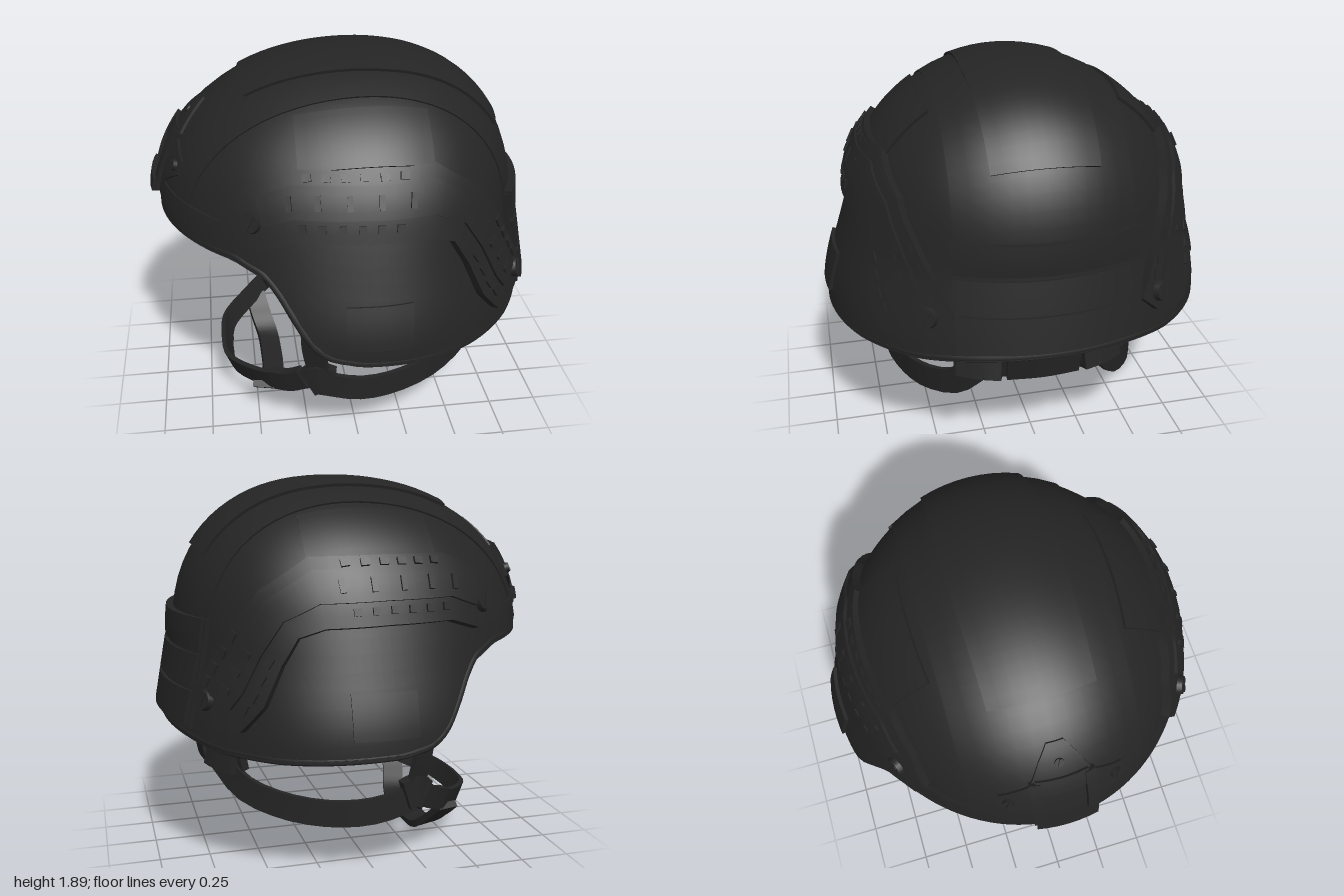
import * as THREE from 'three';
import { toCreasedNormals } from 'three/addons/utils/BufferGeometryUtils.js';

const V = (x, y, z) => new THREE.Vector3(x, y, z);
const lerp = THREE.MathUtils.lerp;
const CX = 0.05, TOP = 1.878, MID = 1.1;
const black = new THREE.MeshStandardMaterial({ color: 0x242424, side: THREE.DoubleSide });
black.name = 'matte black';

// Shell half lengths (front, back) and half width at height y; the ears flare out
function dims(y) {
  const t = Math.min(Math.max((y - MID) / (TOP - MID), 0), 0.99999);
  const low = Math.max(MID - y, 0), flare = 1 - THREE.MathUtils.smoothstep(y, 0.7, 1.3);
  const round = p => Math.pow(1 - t ** p, 1 / p);
  return { f: 0.985 * round(2.17), b: 0.81 * round(2.3) + 0.18 * low, w: 0.843 * round(2) + 0.135 * flare };
}
function field(x, y, z) {
  const d = dims(y);
  return ((x - CX) / (x < CX ? d.f : d.b)) ** 2 + (z / d.w) ** 2;
}
// Point where a ray from inside meets the shell
function hit(x, y, z, dx, dy, dz) {
  let a = 0, b = 2;
  for (let i = 0; i < 34; i++) {
    const m = (a + b) / 2, py = y + dy * m;
    if (py < TOP && field(x + dx * m, py, z + dz * m) < 1) a = m; else b = m;
  }
  return V(x + dx * a, y + dy * a, z + dz * a);
}
function normalAt(p) {
  const e = 1e-4, f0 = field(p.x, p.y, p.z);
  return V(field(p.x + e, p.y, p.z) - field(p.x - e, p.y, p.z),
    2 * (f0 - field(p.x, p.y - e, p.z)) + 1e-9,
    field(p.x, p.y, p.z + e) - field(p.x, p.y, p.z - e)).normalize();
}
// Lower edge height along x: brow, ear cut-out, nape
const RIM = [[-0.95, 1.13], [-0.6, 1.11], [-0.45, 1.05], [-0.38, 0.95], [-0.28, 0.78], [-0.19, 0.71],
  [-0.05, 0.68], [0.5, 0.66], [0.75, 0.665], [0.95, 0.7]];
function rimY(a) {
  const c = Math.cos(a), x = CX + c * (c < 0 ? 1 : 0.89);
  const i = Math.max(1, RIM.findIndex(r => r[0] > x));
  const [p, q] = [RIM[i - 1], RIM[i]];
  return lerp(p[1], q[1], THREE.MathUtils.clamp((x - p[0]) / (q[0] - p[0]), 0, 1));
}
function ring(a, y) {
  const d = dims(y), c = Math.cos(a);
  return V(CX + c * (c < 0 ? d.f : d.b), y, Math.sin(a) * d.w);
}

// Grid surface from a rule on integer indices
function grid(nu, nv, fn, crease) {
  const pos = [], idx = [];
  for (let i = 0; i <= nu; i++) for (let j = 0; j <= nv; j++) {
    pos.push(...fn(i, j).toArray());
    if (i < nu && j < nv) {
      const k = i * (nv + 1) + j, l = k + nv + 1;
      idx.push(k, l, k + 1, k + 1, l, l + 1);
    }
  }
  const g = new THREE.BufferGeometry();
  g.setAttribute('position', new THREE.Float32BufferAttribute(pos, 3));
  g.setIndex(idx);
  return toCreasedNormals(g, crease);
}

export function createModel() {
  const model = new THREE.Group();
  model.name = 'helmet';
  const add = (name, geo) => {
    const m = new THREE.Mesh(geo, black);
    m.name = name;
    model.add(m);
    return m;
  };
  // Raised panel that follows the shell, with side walls
  const slab = (name, base, thick, nu = 12, nv = 8) => add(name, grid(nu + 2, nv + 2, (i, j) => {
    const edge = i === 0 || j === 0 || i === nu + 2 || j === nv + 2;
    const u = THREE.MathUtils.clamp((i - 1) / nu, 0, 1), v = THREE.MathUtils.clamp((j - 1) / nv, 0, 1);
    const p = base(u, v);
    return p.addScaledVector(normalAt(p), edge ? -0.01 : thick);
  }, 0.6));
  // Small part seated on the shell; its z axis points outward
  const seat = (name, geo, p, up, lift) => {
    const n = normalAt(p), x = up.clone().cross(n).normalize();
    const m = add(name, geo);
    m.quaternion.setFromRotationMatrix(new THREE.Matrix4().makeBasis(x, n.clone().cross(x), n));
    m.position.copy(p).addScaledVector(n, lift);
  };
  const bolt = (p, r, lift) => {
    seat('bolt', new THREE.CylinderGeometry(r * 0.85, r, 0.03, 16).rotateX(Math.PI / 2), p, V(0, 1, 0), lift);
    seat('boltSlot', new THREE.BoxGeometry(r * 0.3, r * 1.5, 0.014).rotateZ(-0.4), p, V(0, 1, 0), lift + 0.014);
  };
  // Webbing with rectangular section; across = direction of its width
  const strap = (name, pts, across, width, thick = 0.025, n = 14) => {
    const c = new THREE.CatmullRomCurve3(pts.map(p => V(...p)));
    const corners = [[-1, -1], [1, -1], [1, 1], [-1, 1], [-1, -1]];
    return add(name, grid(n + 2, 4, (i, j) => {
      const t = THREE.MathUtils.clamp((i - 1) / n, 0, 1), end = i === 0 || i === n + 2 ? 0 : 0.5;
      const tan = c.getTangent(t), nor = tan.clone().cross(V(...across)).normalize();
      const w = nor.clone().cross(tan).normalize();
      return c.getPoint(t).addScaledVector(w, corners[j][0] * width * end).addScaledVector(nor, corners[j][1] * thick * end);
    }, 0.6));
  };

  // Shell: outside from crown to rim, then inside back up
  const N = 24;
  add('shell', grid(120, 2 * N + 1, (i, j) => {
    const a = i / 120 * Math.PI * 2, inner = j > N;
    const q = 1 - Math.cos((inner ? 2 * N + 1 - j : j) / N * Math.PI / 2);
    const p = ring(a, TOP - (TOP - rimY(a)) * q);
    return inner ? V(CX + (p.x - CX) * 0.94, p.y - 0.06 * (1 - q), p.z * 0.94) : p;
  }, 0.9));
  // Rounded lip along the lower edge
  const edge = [];
  for (let i = 0; i < 80; i++) {
    const a = i / 80 * Math.PI * 2, p = ring(a, rimY(a) + 0.014);
    edge.push(V(CX + (p.x - CX) * 0.972, p.y, p.z * 0.972));
  }
  add('rimLip', new THREE.TubeGeometry(new THREE.CatmullRomCurve3(edge, true), 160, 0.028, 10, true));

  // Centre cover panel and crown patch
  const arc = (a, z) => hit(CX, 1, z, Math.cos(a), Math.sin(a), 0);
  slab('centrePanel', (u, v) => arc(lerp(Math.PI - 0.2, -0.24, u), lerp(-0.42, 0.42, v)), 0.008, 36, 10);
  slab('crownPatch', (u, v) => arc(lerp(2.2, 0.67, u), lerp(-1, 1, v) * (0.265 - 0.02 * Math.abs(2 * u - 1))), 0.022, 24, 8);

  // Nape pads
  for (const [y0, y1] of [[1.1, 1.25], [0.93, 1.08], [0.75, 0.91]])
    slab('napePad', (u, v) => hit(CX, lerp(y0, y1, v), lerp(-0.42, 0.42, u), 1, 0, 0), 0.045, 14, 4);
  slab('napeBacking', (u, v) => hit(CX, lerp(0.73, 1.24, v), lerp(-0.43, 0.43, u), 1, 0, 0), 0.025, 14, 8);

  // Front mount: flared plate, raised frame and bolts
  const MOUNT = [[1.24, 0.17], [1.32, 0.2], [1.38, 0.3], [1.44, 0.29], [1.5, 0.15], [1.6, 0.09], [1.66, 0.04]];
  const front = (y, z) => hit(CX, y, z, -1, 0, 0);
  slab('mountPlate', (u, v) => {
    const k = Math.min(Math.floor(u * 6), 5), t = u * 6 - k;
    return front(lerp(MOUNT[k][0], MOUNT[k + 1][0], t), lerp(-1, 1, v) * lerp(MOUNT[k][1], MOUNT[k + 1][1], t));
  }, 0.02, 18, 8);
  for (const s of [-1, 1]) {
    slab('mountRail', (u, v) => front(lerp(1.24, 1.52, u), s * lerp(0.1, 0.15, v)), 0.04, 8, 2);
    bolt(front(1.41, s * 0.25), 0.03, 0.022);
  }
  slab('mountTopBar', (u, v) => front(lerp(1.46, 1.53, u), lerp(-0.12, 0.12, v)), 0.034, 3, 4);
  slab('mountFoot', (u, v) => front(lerp(1.23, 1.29, u), lerp(-0.14, 0.14, v)), 0.055, 3, 6);
  bolt(front(1.59, 0), 0.025, 0.012);

  // Side rail outline as pairs of upper and lower points
  const RAIL = [[-0.62, 1.32, -0.6, 1.22], [-0.5, 1.45, -0.45, 1.2], [-0.3, 1.53, -0.3, 1.25], [0, 1.535, 0, 1.25],
    [0.32, 1.53, 0.28, 1.24], [0.53, 1.39, 0.39, 1.2], [0.645, 1.22, 0.46, 1.08], [0.735, 1.04, 0.54, 0.9],
    [0.805, 0.89, 0.635, 0.78], [0.775, 0.8, 0.7, 0.77]];

  for (const s of [-1, 1]) {
    const side = (x, y) => hit(x, y, 0, 0, 0, s);
    const rail = (k, v) => {
      const i = Math.min(Math.floor(k), 8), t = k - i, [p, q] = [RAIL[i], RAIL[i + 1]];
      return side(lerp(lerp(p[0], q[0], t), lerp(p[2], q[2], t), v), lerp(lerp(p[1], q[1], t), lerp(p[3], q[3], t), v));
    };
    slab('sidePatch', (u, v) => {
      const a = lerp(0.67, 1.0, v);
      return hit(lerp(-0.28, 0.33, u), 1, 0, 0, Math.sin(a), s * Math.cos(a));
    }, 0.015);
    slab('earPatch', (u, v) => side(lerp(-0.1, 0.2, u), lerp(0.77, 0.97, v)), 0.018, 6, 6);
    slab('sideRail', (u, v) => rail(u * 9, v), 0.042, 36, 6);
    slab('railSpine', (u, v) => rail(1.2 + u * 6.4, lerp(0.2, 0.65, v)), 0.056, 32, 4);

    // Rail teeth and slots on the upper run and the rear arm
    const stud = (k, v, w, h, lift) => {
      const p = rail(k, v);
      seat('railTooth', new THREE.BoxGeometry(w, h, 0.016), p, rail(k, v - 0.05).sub(p), lift);
    };
    for (let i = 0; i < 6; i++) {
      stud(2.2 + i * 0.27, 0.1, 0.04, 0.035, 0.045);
      stud(2.1 + i * 0.28, 0.78, 0.035, 0.035, 0.045);
    }
    for (let i = 0; i < 5; i++) stud(1.9 + i * 0.44, 0.42, 0.025, 0.07, 0.058);
    for (let i = 0; i < 4; i++) {
      stud(6.1 + i * 0.42, 0.1, 0.05, 0.035, 0.045);
      stud(6.1 + i * 0.42, 0.8, 0.05, 0.035, 0.045);
      if (i < 3) stud(6.2 + i * 0.5, 0.42, 0.025, 0.06, 0.058);
    }
    bolt(side(-0.48, 1.31), 0.052, 0.05);
    bolt(side(0.75, 0.89), 0.052, 0.052);

    // Brow cord from the mount to the rail
    slab('browCord', (u, v) => {
      const a = lerp(Math.PI - 0.12, Math.PI - 0.9, u);
      return hit(CX, lerp(1.27, 1.23, u) + 0.035 * v, 0, Math.cos(a), 0, s * Math.sin(a));
    }, 0.016, 14, 2);

    // Chin harness, one side
    strap('frontStrap', [[-0.23, 0.82, s * 0.72], [-0.23, 0.6, s * 0.69], [-0.19, 0.38, s * 0.67]], [1, 0, s * 0.5], 0.115);
    strap('rearStrap', [[-0.2, 0.37, s * 0.67], [0, 0.325, s * 0.68], [0.2, 0.31, s * 0.63], [0.42, 0.34, s * 0.54],
      [0.6, 0.41, s * 0.41], [0.7, 0.54, s * 0.31]], [0, 1, 0], 0.13);
    strap('strapJoint', [[-0.25, 0.37, s * 0.65], [-0.2, 0.41, s * 0.68], [-0.14, 0.39, s * 0.69]], [0, 1, 0], 0.15, 0.05, 6);
    strap('chinStrap', [[-0.18, 0.4, s * 0.66], [-0.35, 0.3, s * 0.54], [-0.5, 0.235, s * 0.39], [-0.63, 0.2, s * 0.2],
      [-0.65, 0.2, 0]], [-0.4, 1, 0], 0.11);
    strap('buckle', [[-0.27, 0.36, s * 0.6], [-0.34, 0.31, s * 0.55], [-0.42, 0.275, s * 0.475]], [-0.2, 1, 0], 0.11, 0.05, 6);
    strap('chinCup', [[-0.47, 0.21, s * 0.44], [-0.445, 0.13, s * 0.35], [-0.41, 0.045, s * 0.23], [-0.4, 0.035, 0]],
      [1, -0.2, 0], 0.115, 0.035);
    strap('napeHanger', [[0.69, 0.5, s * 0.2], [0.71, 0.62, s * 0.2], [0.76, 0.74, s * 0.2]], [0, 0, 1], 0.11);
    strap('napeClip', [[0.63, 0.54, s * 0.4], [0.69, 0.54, s * 0.29], [0.72, 0.54, s * 0.2]], [-0.25, 1, 0], 0.13, 0.06, 6);
  }

  // Nape support below the rear rim
  strap('napeBand', [[0.6, 0.585, -0.41], [0.7, 0.57, -0.22], [0.73, 0.57, 0], [0.7, 0.57, 0.22], [0.6, 0.585, 0.41]],
    [0.2, 1, 0], 0.19, 0.04);
  strap('napePlate', [[0.74, 0.55, -0.18], [0.755, 0.55, 0], [0.74, 0.55, 0.18]], [0.2, 1, 0], 0.15, 0.04, 8);
  strap('napeTab', [[0.765, 0.655, -0.1], [0.775, 0.655, 0], [0.765, 0.655, 0.1]], [0.2, 1, 0], 0.05, 0.03, 4);
  return model;
}
